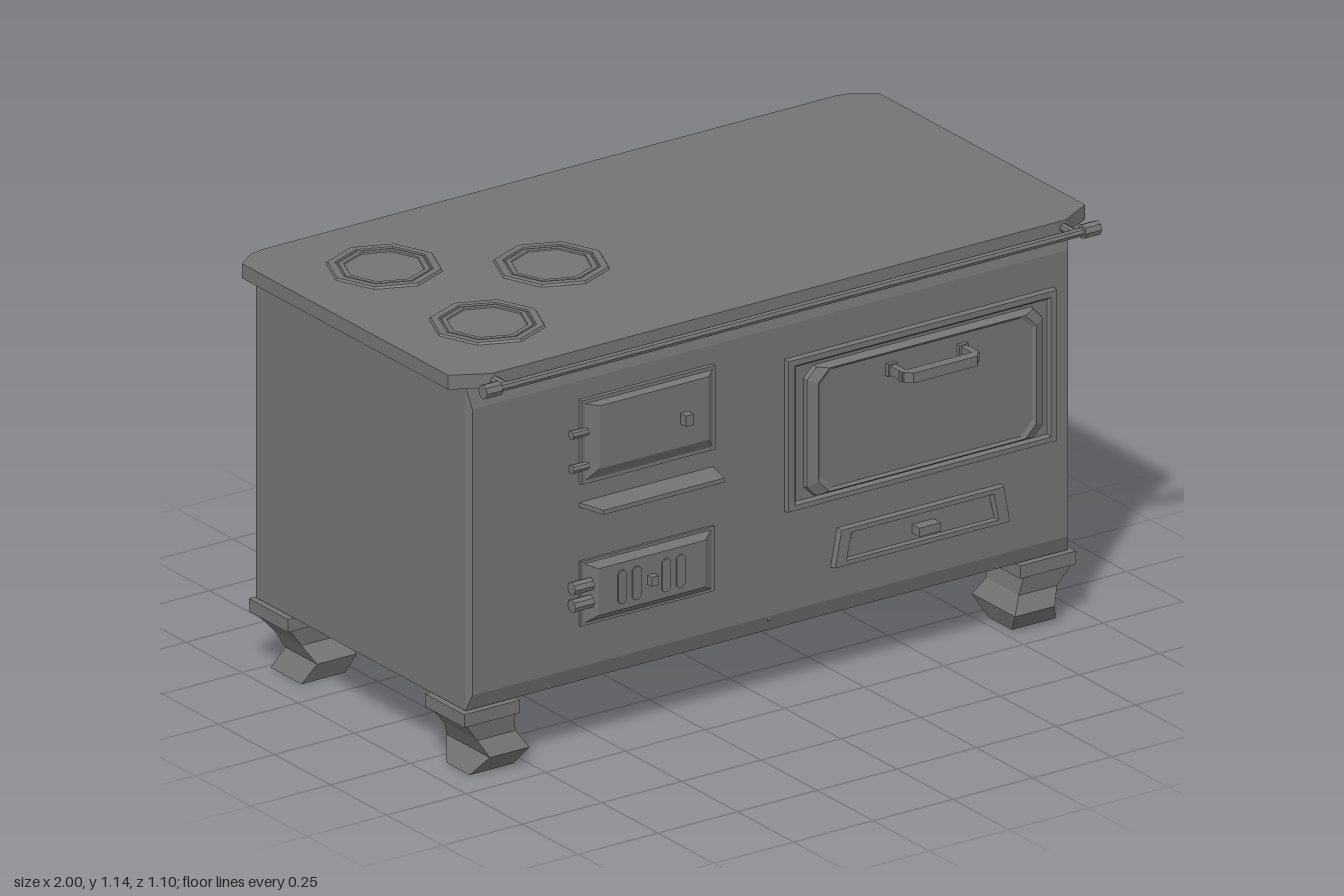
import * as THREE from 'three';

const iron = new THREE.MeshStandardMaterial({ color: 0x747474, flatShading: true, side: THREE.DoubleSide });
iron.name = 'dark cast iron';

// Joins equal-length loops of [x, y, z] points; caps the last loop and optionally the first.
function loft(loops, capStart = false, capEnd = true) {
  const n = loops[0].length, pos = loops.flat(2), idx = [];
  for (let l = 0; l < loops.length - 1; l++) {
    for (let i = 0; i < n; i++) {
      const a = l * n + i, b = l * n + (i + 1) % n;
      idx.push(a, b, b + n, a, b + n, a + n);
    }
  }
  const last = (loops.length - 1) * n;
  for (let i = 1; i < n - 1; i++) {
    if (capEnd) idx.push(last, last + i, last + i + 1);
    if (capStart) idx.push(0, i + 1, i);
  }
  const g = new THREE.BufferGeometry();
  g.setAttribute('position', new THREE.Float32BufferAttribute(pos, 3));
  g.setIndex(idx);
  const flat = g.toNonIndexed();
  flat.computeVertexNormals();
  return flat;
}

// Counter-clockwise outlines on the front, at depth z
const rect = (x0, x1, y0, y1, z, slant = 0) =>
  [[x0, y0, z], [x1, y0, z], [x1 - slant, y1, z], [x0 + slant, y1, z]];
const cutRect = (x0, x1, y0, y1, c, z) => [
  [x0 + c, y0, z], [x1 - c, y0, z], [x1, y0 + c, z], [x1, y1 - c, z],
  [x1 - c, y1, z], [x0 + c, y1, z], [x0, y1 - c, z], [x0, y0 + c, z]];
const toShape = (pts) => new THREE.Shape(pts.map((p) => new THREE.Vector2(p[0], p[1])));

export function createModel() {
  const model = new THREE.Group();
  model.name = 'stove';
  const add = (name, geo, x = 0, y = 0, z = 0) => {
    const m = new THREE.Mesh(geo, iron);
    m.name = name;
    m.position.set(x, y, z);
    model.add(m);
    return m;
  };
  const box = (name, w, h, d, x, y, z) => add(name, new THREE.BoxGeometry(w, h, d), x, y, z);
  const F = 0.435;

  // Thin-walled body, open at the back
  for (const s of [-1, 1]) {
    add('sideWall', new THREE.PlaneGeometry(0.935, 0.9), s * 0.945, 0.64, -0.0475).rotation.y = s * Math.PI / 2;
  }
  add('floor', new THREE.PlaneGeometry(1.89, 0.935), 0, 0.19, -0.0475).rotation.x = Math.PI / 2;
  add('frontBevel', loft([rect(-0.945, 0.945, 0.19, 1.09, 0.42), rect(-0.935, 0.935, 0.235, 1.03, F)], false, false));
  const front = toShape(rect(-0.935, 0.935, 0.235, 1.03, 0));
  front.holes = [
    rect(-0.58, -0.2, 0.765, 0.955, 0), rect(-0.58, -0.2, 0.37, 0.51, 0),
    rect(0.075, 0.865, 0.54, 0.905, 0), rect(0.21, 0.725, 0.335, 0.42, 0, 0.018),
  ].map(toShape);
  add('frontPanel', new THREE.ShapeGeometry(front), 0, 0, F);
  box('innerRib', 0.01, 0.3, 0.02, 0, 0.37, F - 0.012);

  // Countertop with clipped corners
  const half = [[1, 0.42], [1, -0.5], [0.945, -0.54], [0.9, -0.55]];
  const outline = [[0.9, 0.475], ...half, ...half.slice().reverse().map(([x, z]) => [-x, z]), [-0.9, 0.475]];
  add('countertop', loft([1.095, 1.135].map((y) => outline.map(([x, z]) => [x, y, z])), true));

  // Octagonal hotplates: raised ring with a lid inside
  for (const [x, z] of [[-0.715, -0.27], [-0.355, -0.035], [-0.715, 0.19]]) {
    const profile = [[0.152, 0], [0.148, 0.006], [0.128, 0.006], [0.126, 0.002], [0.122, 0.002], [0.12, 0.004], [0.106, 0.004], [0.104, 0.001], [0, 0.001]];
    add('hotplate', new THREE.LatheGeometry(profile.map((p) => new THREE.Vector2(...p)), 8), x, 1.135, z);
  }

  // Towel rail
  const rod = (name, r, len, x, y, z, axis, sides = 8) => {
    const g = new THREE.CylinderGeometry(r, r, len, sides);
    if (axis === 'x') g.rotateZ(Math.PI / 2);
    if (axis === 'z') g.rotateX(Math.PI / 2);
    return add(name, g, x, y, z);
  };
  rod('rail', 0.012, 1.9, 0, 1.115, 0.525, 'x');
  for (const s of [-1, 1]) {
    rod('railEnd', 0.02, 0.05, s * 0.94, 1.115, 0.525, 'x');
    rod('railBracket', 0.012, 0.07, s * 0.893, 1.115, 0.49, 'z');
  }

  // Firebox door, hinges and latch
  add('fireboxDoor', loft([
    rect(-0.6, -0.18, 0.745, 0.978, F), rect(-0.6, -0.18, 0.745, 0.978, 0.448),
    rect(-0.59, -0.19, 0.755, 0.968, 0.448), rect(-0.555, -0.215, 0.785, 0.96, 0.465)]));
  box('fireboxLatch', 0.025, 0.03, 0.03, -0.29, 0.865, 0.475);
  for (const y of [0.89, 0.795]) rod('fireboxHinge', 0.012, 0.05, -0.608, y, 0.447, 'x');

  // Tapered ash shelf
  const shelf = [[-0.6, F], [-0.18, F], [-0.2, 0.515], [-0.58, 0.515]];
  add('shelf', loft([0.68, 0.692].map((y) => shelf.map(([x, z]) => [x, y, z])), true));

  // Ash door with air slots
  add('ashDoor', loft([
    rect(-0.6, -0.18, 0.35, 0.53, F), rect(-0.6, -0.18, 0.35, 0.53, 0.443),
    rect(-0.59, -0.19, 0.358, 0.522, 0.443), rect(-0.555, -0.22, 0.375, 0.505, 0.458)]));
  for (const x of [-0.482, -0.436, -0.344, -0.298]) {
    add('airSlot', loft([cutRect(-0.013, 0.013, -0.046, 0.046, 0.008, 0), cutRect(-0.013, 0.013, -0.046, 0.046, 0.008, 0.006)]), x, 0.438, 0.456);
  }
  box('ashLatch', 0.022, 0.026, 0.025, -0.39, 0.438, 0.465);
  for (const y of [0.466, 0.418]) rod('ashHinge', 0.018, 0.06, -0.605, y, 0.452, 'x');

  // Oven frame, door and handle
  add('ovenFrame', loft([
    rect(0.045, 0.892, 0.513, 0.937, F), rect(0.048, 0.889, 0.516, 0.934, 0.45),
    rect(0.068, 0.872, 0.53, 0.918, 0.45), rect(0.075, 0.865, 0.537, 0.911, 0.441)]));
  add('ovenDoor', loft([
    cutRect(0.1, 0.845, 0.542, 0.903, 0.03, 0.44), cutRect(0.102, 0.843, 0.544, 0.901, 0.03, 0.454),
    cutRect(0.13, 0.815, 0.552, 0.895, 0.035, 0.466), cutRect(0.14, 0.805, 0.56, 0.888, 0.035, 0.46)]));
  for (const x of [0.358, 0.582]) {
    box('handleMount', 0.028, 0.034, 0.012, x, 0.847, 0.468);
    box('handlePost', 0.018, 0.026, 0.06, x, 0.847, 0.5);
  }
  add('handleBar', loft([0.832, 0.86].map((y) =>
    [[0.345, 0.52], [0.37, 0.55], [0.57, 0.55], [0.595, 0.52], [0.57, 0.525], [0.37, 0.525]].map(([x, z]) => [x, y, z])), true));

  // Drawer with recessed face and pull
  add('drawer', loft([
    rect(0.19, 0.745, 0.325, 0.43, F, 0.02), rect(0.193, 0.742, 0.327, 0.428, 0.452, 0.02),
    rect(0.228, 0.707, 0.34, 0.415, 0.452, 0.016), rect(0.236, 0.699, 0.344, 0.411, 0.442, 0.016)]));
  box('drawerPull', 0.068, 0.024, 0.034, 0.475, 0.375, 0.457);

  // Bent legs under a square plate: [y, xOuter, xInner, zOuter, zInner]
  const frontLeg = [[0.152, 0.95, 0.8, 0.43, 0.265], [0.1, 0.91, 0.79, 0.422, 0.275], [0.055, 0.887, 0.762, 0.445, 0.252], [0, 0.92, 0.782, 0.402, 0.3]];
  const backLeg = [[0.152, 0.95, 0.8, -0.52, -0.355], [0.1, 0.91, 0.79, -0.48, -0.362], [0.055, 0.887, 0.762, -0.468, -0.325], [0, 0.92, 0.782, -0.485, -0.348]];
  for (const s of [-1, 1]) {
    for (const [name, rows, pz] of [['frontLeg', frontLeg, 0.348], ['backLeg', backLeg, -0.438]]) {
      add(name, loft(rows.map(([y, xo, xi, zo, zi]) => [[s * xo, y, zo], [s * xi, y, zo], [s * xi, y, zi], [s * xo, y, zi]])));
      box(name + 'Plate', 0.175, 0.036, 0.175, s * 0.873, 0.17, pz);
    }
  }
  return model;
}
